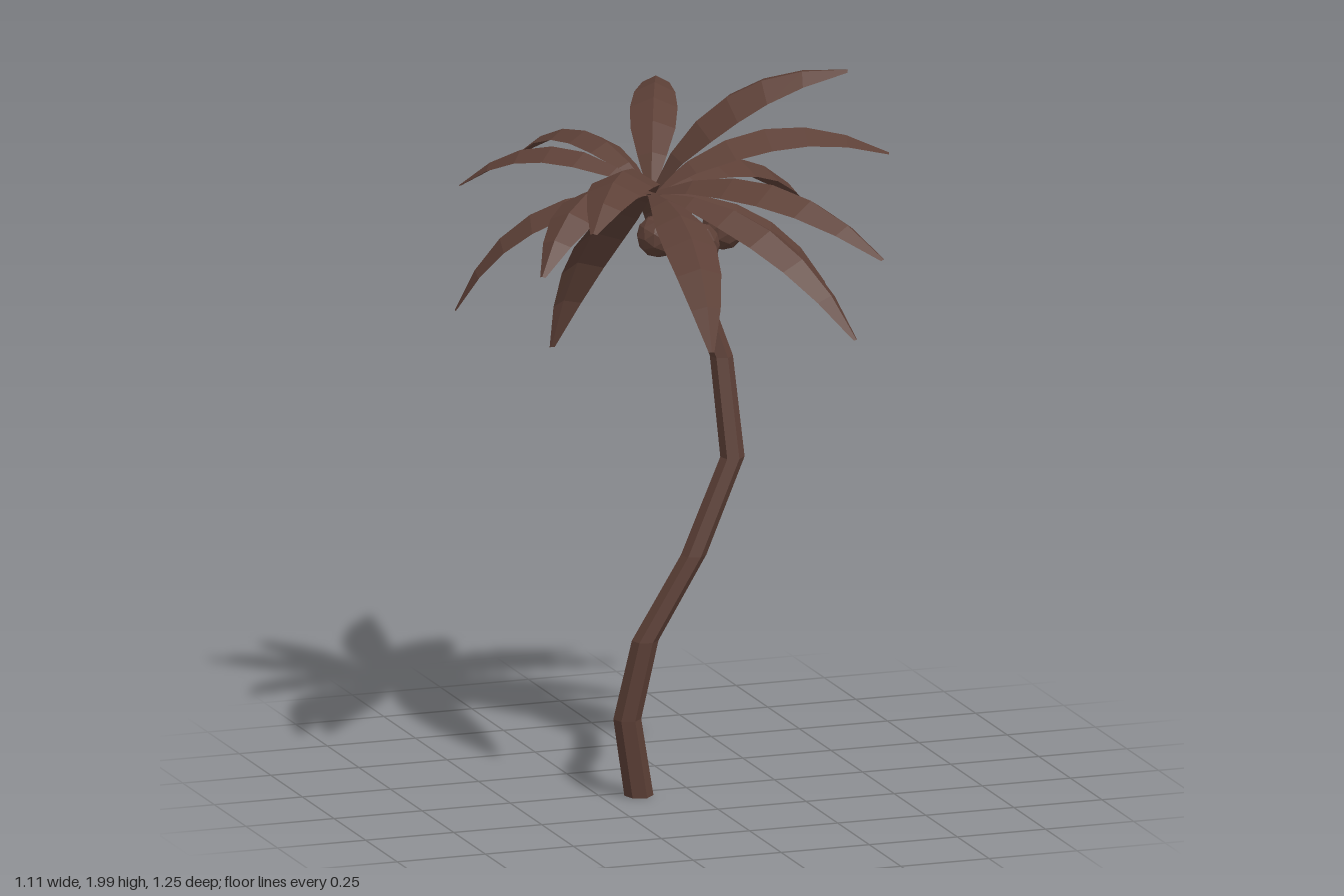
import * as THREE from 'three';

const brown = new THREE.MeshStandardMaterial({ color: 0x5d4037, flatShading: true });
const leafMat = new THREE.MeshStandardMaterial({ color: 0x5d4037, flatShading: true, side: THREE.DoubleSide });

// Skin a list of equal-length cross-sections; closed joins the last point to the first and caps the ends
function loft(rings, closed) {
  const n = rings[0].length, index = [];
  for (let i = 0; i < rings.length - 1; i++) {
    for (let j = 0; j < (closed ? n : n - 1); j++) {
      const a = i * n + j, b = i * n + (j + 1) % n;
      index.push(a, a + n, b, b, a + n, b + n);
    }
  }
  if (closed) {
    const last = (rings.length - 1) * n;
    for (let j = 1; j < n - 1; j++) index.push(0, j, j + 1, last, last + j + 1, last + j);
  }
  const g = new THREE.BufferGeometry().setFromPoints(rings.flat());
  g.setIndex(index);
  g.computeVertexNormals();
  return g;
}

const crown = new THREE.Vector3(-0.1, 1.65, 0.0);

// Bent, tapering hexagonal trunk
function makeTrunk() {
  const path = [
    [-0.148, 0, 0.037], [-0.19, 0.22, 0.062], [-0.15, 0.44, 0.092], [-0.02, 0.67, 0.113],
    [0.092, 0.93, 0.108], [0.075, 1.2, 0.068], [-0.01, 1.46, 0.03], [-0.09, 1.65, 0.005],
  ];
  const rings = path.map(([x, y, z], i) => {
    const r = 0.039 - 0.0016 * i;
    return Array.from({ length: 6 }, (_, k) => {
      const a = (k + 0.25) * Math.PI / 3;
      return new THREE.Vector3(x + r * Math.cos(a), y, z + r * Math.sin(a));
    });
  });
  return new THREE.Mesh(loft(rings, true), brown);
}

// Arched frond with a raised midrib; bow bends it sideways and bank rolls it about its midrib
const halfWidths = [0.012, 0.052, 0.08, 0.085, 0.073, 0.048, 0.009];
function makeFrond([x, y, z, width = 1, bow = 0, bank = 0]) {
  const tip = new THREE.Vector3(x, y, z);
  const chord = tip.clone().sub(crown);
  const across = new THREE.Vector3(-chord.z, 0, chord.x).normalize();
  // The arch rises square to the line from crown to tip
  const rise = chord.clone().cross(across).normalize().negate();
  const control = crown.clone().lerp(tip, 0.5)
    .addScaledVector(across, 2 * bow).addScaledVector(rise, 0.23);
  const rib = new THREE.QuadraticBezierCurve3(crown, control, tip);
  const rings = halfWidths.map((w, i) => {
    const t = i / (halfWidths.length - 1);
    const mid = rib.getPoint(t), slope = rib.getTangent(t);
    const side = across.clone().applyAxisAngle(slope, bank);
    const down = slope.cross(side).normalize();
    const edge = (s) => mid.clone().addScaledVector(side, s * w * width).addScaledVector(down, w * width * 0.48);
    return [edge(-1), mid, edge(1)];
  });
  return new THREE.Mesh(loft(rings, false), leafMat);
}

export function createModel() {
  const model = new THREE.Group();
  model.name = 'palmTree';

  const trunk = makeTrunk();
  trunk.name = 'trunk';
  model.add(trunk);

  // Each frond: tip x, y, z, then width, bow, bank
  const fronds = new THREE.Group();
  fronds.name = 'fronds';
  const tips = [
    [0.39, 1.99, 0.19, 1, 0.02, 0.27], [0.55, 1.72, 0.07, 1, -0.02], [0.45, 1.49, -0.27, 0.9],
    [0.14, 1.35, -0.63, 1.05, 0.035], [0.11, 1.82, -0.54, 0.75], [-0.2, 1.11, -0.51, 0.9, 0.025],
    [-0.29, 1.65, -0.52, 0.65], [-0.49, 1.6, -0.43, 0.75], [-0.56, 1.3, -0.27, 0.95],
    [-0.54, 1.54, 0.365, 0.9, 0.02], [-0.44, 1.68, 0.49], [-0.15, 1.36, 0.62, 0.85, -0.015],
    [0.3, 1.33, 0.51, 0.9], [0.37, 1.55, 0.53], [0.41, 1.27, 0.09, 0.9],
  ];
  tips.forEach((tip, i) => {
    const frond = makeFrond(tip);
    frond.name = `frond${i + 1}`;
    fronds.add(frond);
  });
  model.add(fronds);

  // Coconuts around the trunk under the crown
  const coconuts = new THREE.Group();
  coconuts.name = 'coconuts';
  const nut = new THREE.IcosahedronGeometry(0.059, 1);
  [[-0.02, 0.15], [0.1, 0.01], [-0.01, -0.08], [-0.09, 0.03]].forEach(([x, z], i) => {
    const coconut = new THREE.Mesh(nut, brown);
    coconut.name = `coconut${i + 1}`;
    coconut.position.set(x, 1.535, z);
    coconuts.add(coconut);
  });
  model.add(coconuts);

  return model;
}
